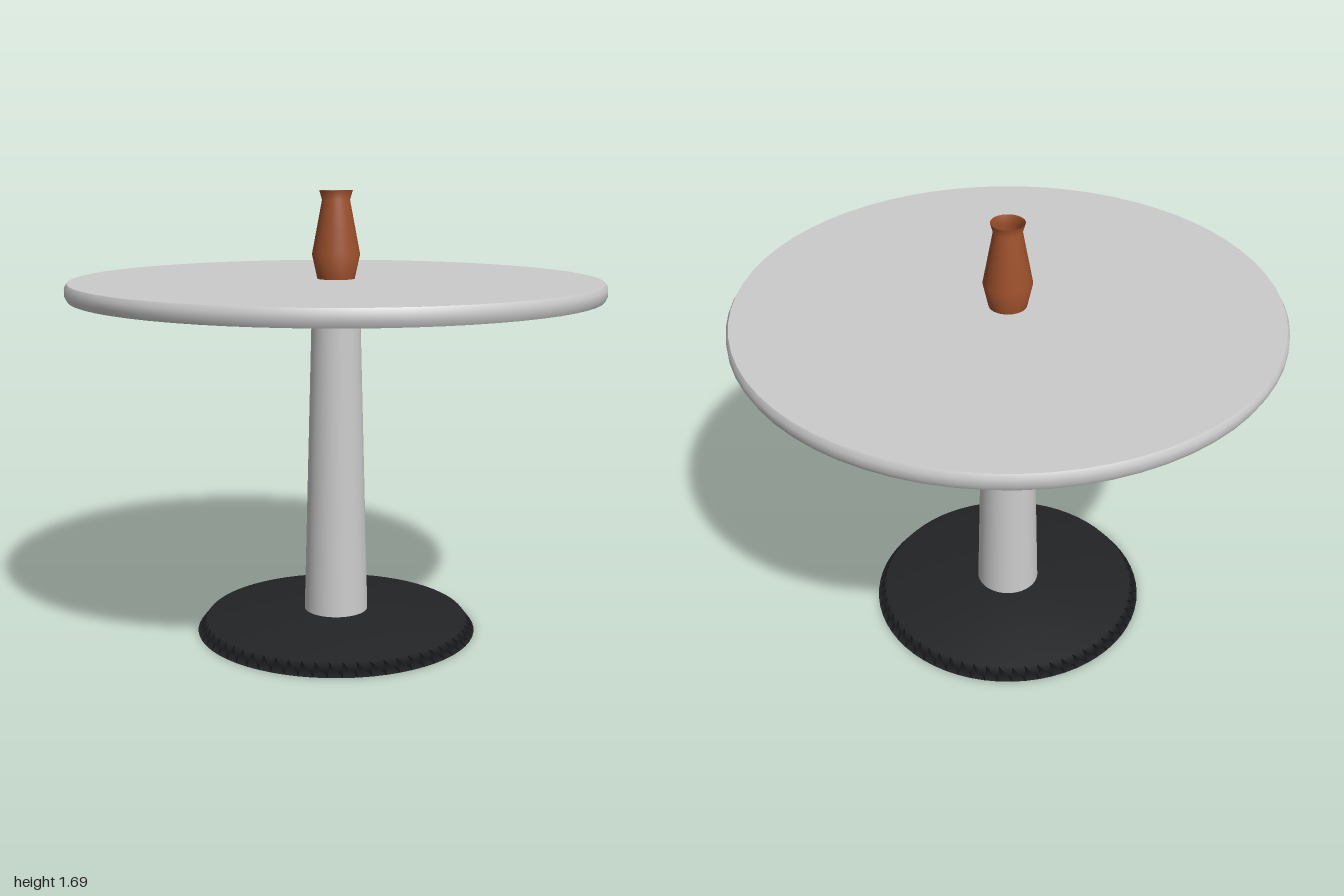
import * as THREE from 'three';

// Turned part from [radius, height] pairs, listed upwards; a repeated pair makes a sharp edge
function turned(name, profile, options = {}) {
  const points = profile.map(([r, y]) => new THREE.Vector2(r, y));
  const material = new THREE.MeshStandardMaterial({ color: 0xcccccc, ...options });
  const mesh = new THREE.Mesh(new THREE.LatheGeometry(points, 64), material);
  mesh.name = name;
  return mesh;
}

export function createModel() {
  const table = new THREE.Group();
  table.name = 'pedestalTable';

  // Low spreading foot, closed underneath
  table.add(turned('base', [
    [0, 0], [0.54, 0], [0.505, 0.045], [0.12, 0.075], [0, 0.075],
  ], { color: 0x222426 }));

  // Tapered column
  table.add(turned('column', [[0.123, 0.07], [0.09, 1.305]]));

  // Round top with flat faces and a softly bevelled rim
  table.add(turned('tabletop', [
    [0, 1.3], [0.99, 1.3], [0.99, 1.3],
    [1, 1.32], [1, 1.345],
    [0.99, 1.362], [0.99, 1.362], [0, 1.362],
  ]));

  // Open vase with a floor
  table.add(turned('vase', [
    [0, 1.364], [0.07, 1.364], [0.07, 1.364],
    [0.09, 1.455], [0.052, 1.655], [0.062, 1.69],
  ], { color: 0xa0522d, side: THREE.DoubleSide }));

  return table;
}
